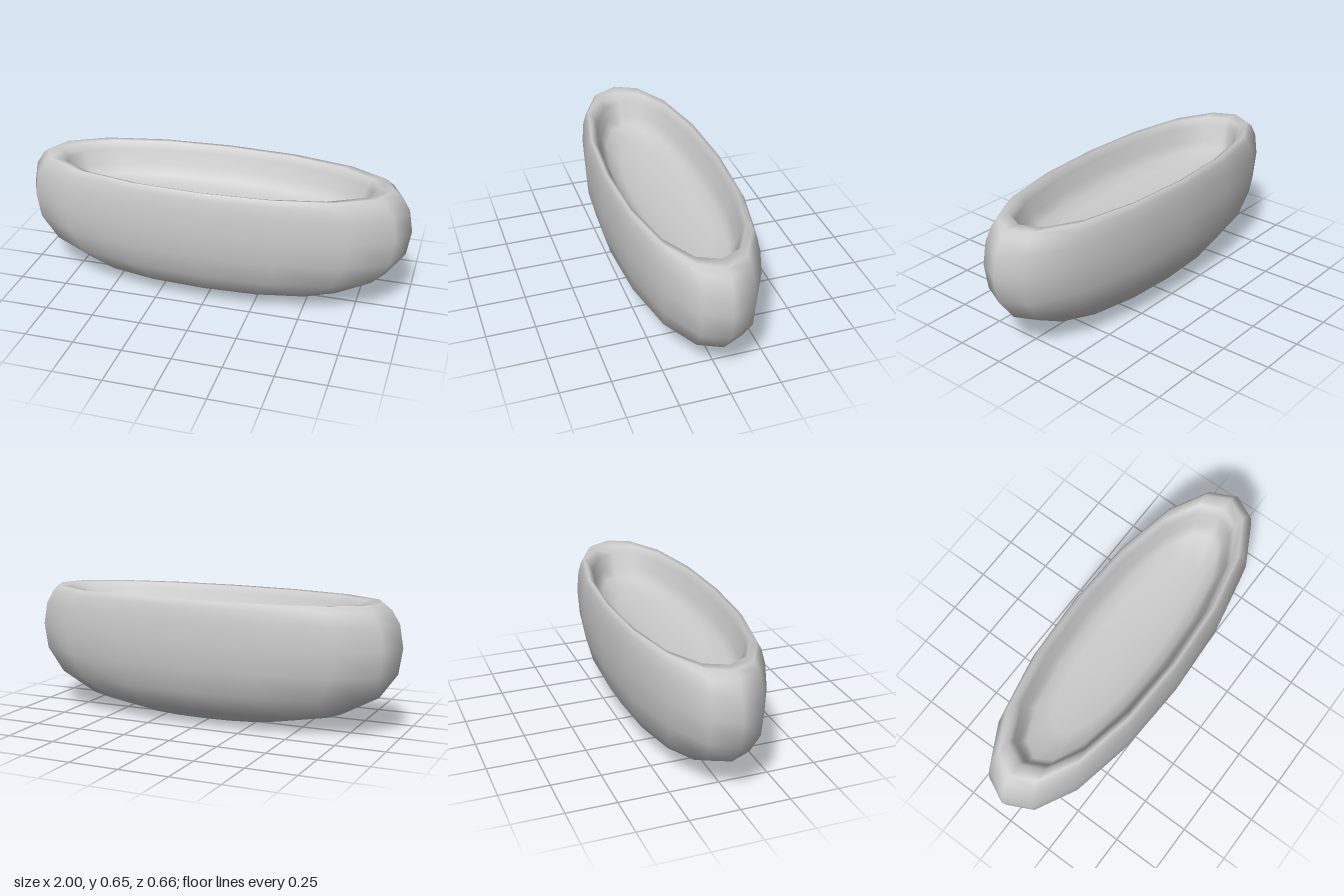
import * as THREE from 'three';
import { mergeVertices } from 'three/addons/utils/BufferGeometryUtils.js';

// Elliptical rings [half length x, half width z, height y]: up the outside, over the rim, down to the shallow floor
const rings = [
  [0, 0, 0], [0.38, 0.125, 0.022], [0.70, 0.228, 0.086], [0.89, 0.29, 0.19],
  [0.98, 0.32, 0.315], [1, 0.328, 0.445], [0.98, 0.32, 0.56], [0.94, 0.309, 0.625],
  [0.90, 0.295, 0.655],
  [0.83, 0.28, 0.65], [0.80, 0.263, 0.61], [0.78, 0.238, 0.54], [0.74, 0.208, 0.49],
  [0.56, 0.155, 0.465], [0.28, 0.078, 0.453], [0, 0, 0.45],
];
const SEGMENTS = 16;

export function createModel() {
  const group = new THREE.Group();
  group.name = 'ovalBowl';

  const profile = rings.map(([rx, , y]) => new THREE.Vector2(rx, y));
  let geometry = new THREE.LatheGeometry(profile, SEGMENTS);

  // Squeeze every ring to its own ellipse, slightly fuller on the diagonals
  const pos = geometry.attributes.position;
  for (let i = 0; i < pos.count; i++) {
    const [rx, rz] = rings[i % rings.length];
    const angle = Math.atan2(pos.getX(i), pos.getZ(i));
    const full = 1 + 0.03 * Math.sin(2 * angle) ** 2;
    pos.setX(i, pos.getX(i) * full);
    pos.setZ(i, rx > 0 ? pos.getZ(i) * full * rz / rx : 0);
  }

  // Weld the seam and the poles for continuous smooth shading
  geometry.deleteAttribute('uv');
  geometry.deleteAttribute('normal');
  geometry = mergeVertices(geometry, 1e-4);
  geometry.computeVertexNormals();

  const bowl = new THREE.Mesh(geometry, new THREE.MeshStandardMaterial({ color: 0xcccccc }));
  bowl.name = 'bowl';
  group.add(bowl);
  return group;
}
